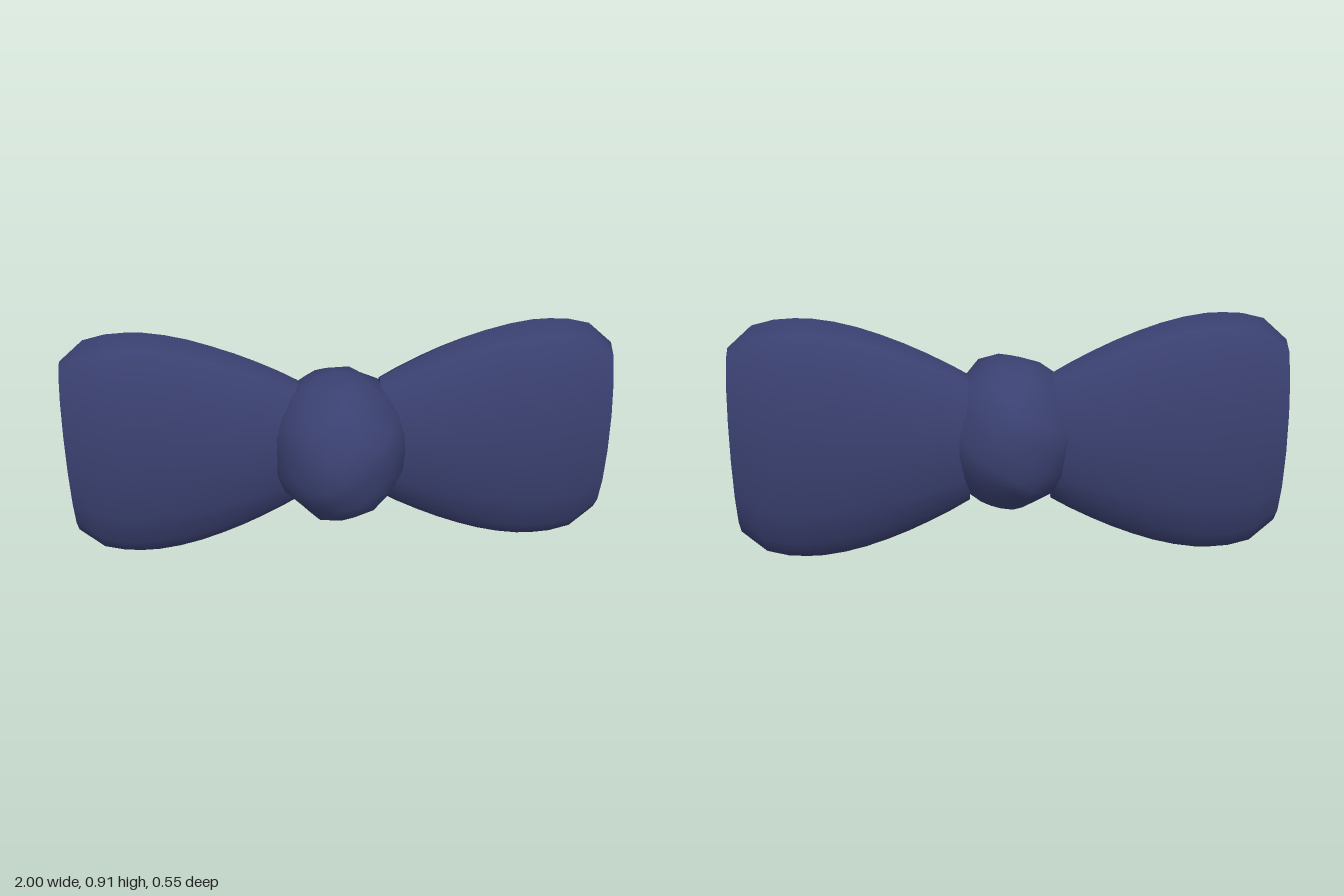
import * as THREE from 'three';
import { mergeVertices } from 'three/addons/utils/BufferGeometryUtils.js';

const CENTER_Y = 0.451;

// Loop cross-sections, knot to open end: [x, half height, half depth]
const SECTIONS = [
  [0.15, 0.243, 0.117], [0.22, 0.284, 0.136], [0.3, 0.326, 0.15], [0.38, 0.364, 0.16],
  [0.46, 0.397, 0.166], [0.54, 0.425, 0.171], [0.62, 0.446, 0.172], [0.7, 0.459, 0.171],
  [0.76, 0.461, 0.169], [0.83, 0.457, 0.163], [0.91, 0.437, 0.15], [1.0, 0.356, 0.117],
];

// Keep positions only, weld the seams and smooth the normals
function weld(geometry) {
  geometry.deleteAttribute('uv');
  geometry.deleteAttribute('normal');
  return mergeVertices(geometry, 1e-4);
}

// Hollow, flattened tube with 15 sides, running along +x
function loopGeometry() {
  const last = SECTIONS.length - 1;
  const g = weld(new THREE.CylinderGeometry(1, 1, 1, 15, last, true));
  const p = g.attributes.position;
  for (let i = 0; i < p.count; i++) {
    const [x, h, d] = SECTIONS[Math.round((p.getY(i) + 0.5) * last)];
    p.setXYZ(i, x, p.getZ(i) * h, p.getX(i) * d);
  }
  g.computeVertexNormals();
  return g;
}

// Lumpy ball with diagonal folds of cloth
function knotGeometry() {
  const g = weld(new THREE.IcosahedronGeometry(1, 3));
  const p = g.attributes.position;
  const v = new THREE.Vector3();
  for (let i = 0; i < p.count; i++) {
    v.fromBufferAttribute(p, i);
    const folds = 0.028 * Math.sin(9 * v.y - 4 * v.x + 2 * Math.sin(2.5 * v.z));
    const lumps = 0.022 * Math.sin(6 * v.x + 5 * v.z + 1) * Math.cos(5 * v.y - 3 * v.z);
    v.multiplyScalar(1 + folds + lumps);
    p.setXYZ(i, v.x * 0.252, v.y * 0.29, v.z * 0.275);
  }
  g.computeVertexNormals();
  return g;
}

export function createModel() {
  const group = new THREE.Group();
  group.name = 'bowTie';
  const navy = new THREE.MeshStandardMaterial({ color: 0x3a4070, side: THREE.DoubleSide });
  navy.name = 'navyCloth';

  // Two matching loops, the right one turned half round
  const loop = loopGeometry();
  for (const [name, turn] of [['leftLoop', 0], ['rightLoop', Math.PI]]) {
    const mesh = new THREE.Mesh(loop, navy);
    mesh.name = name;
    mesh.position.set(0, CENTER_Y, -0.05);
    mesh.rotation.y = turn;
    group.add(mesh);
  }

  // Central knot
  const knot = new THREE.Mesh(knotGeometry(), navy);
  knot.name = 'knot';
  knot.position.set(-0.005, 0.453, 0);
  group.add(knot);

  return group;
}
